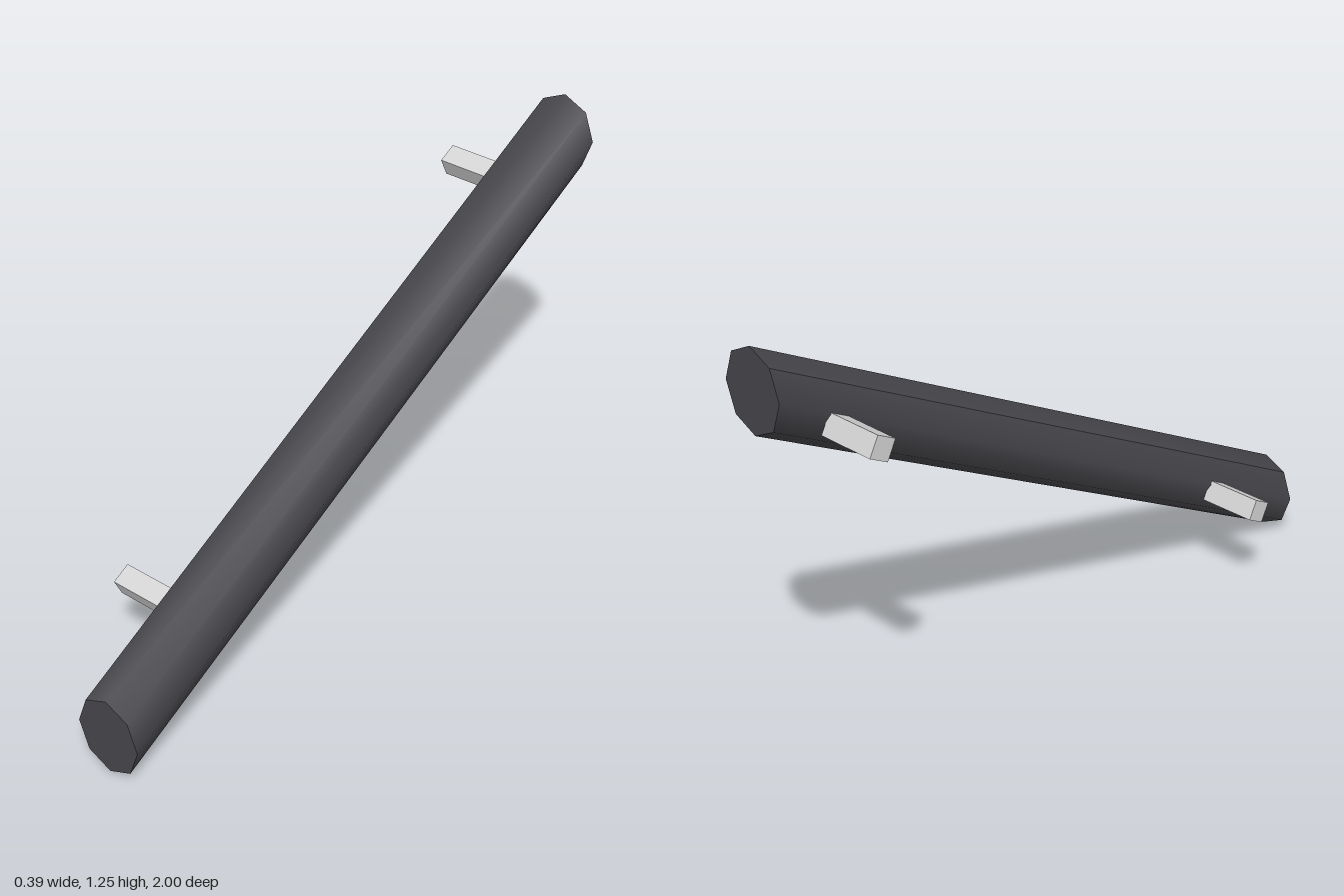
import * as THREE from 'three';

const SLOPE = 0.5; // rise of the rail per unit of depth

export function createModel() {
  const model = new THREE.Group();
  const darkRail = new THREE.MeshStandardMaterial({ color: 0x47464b });
  const paleMetal = new THREE.MeshStandardMaterial({ color: 0xd4d4d4 });

  // Eight-sided rail, sheared so that both ends stay vertical
  const railGeometry = new THREE.CylinderGeometry(1, 1, 2, 8, 1, false, Math.PI * 1.25);
  railGeometry.rotateX(Math.PI / 2);
  railGeometry.scale(0.1075, 0.1225, 1);
  railGeometry.applyMatrix4(new THREE.Matrix4().set(
    1, 0, 0, 0.088,
    0, 1, -SLOPE, 0.626,
    0, 0, 1, 0,
    0, 0, 0, 1
  ));
  railGeometry.computeVertexNormals();
  const rail = new THREE.Mesh(railGeometry, darkRail);
  rail.name = 'handrail';
  model.add(rail);

  // Square wall pegs, tilted with the rail
  const pegGeometry = new THREE.BoxGeometry(0.187, 0.063, 0.063);
  [['lowerWallPeg', 0.288, 0.63], ['upperWallPeg', 1.008, -0.827]].forEach(([name, y, z]) => {
    const peg = new THREE.Mesh(pegGeometry, paleMetal);
    peg.name = name;
    peg.position.set(-0.1035, y, z);
    peg.rotation.x = Math.atan(SLOPE);
    model.add(peg);
  });

  return model;
}
